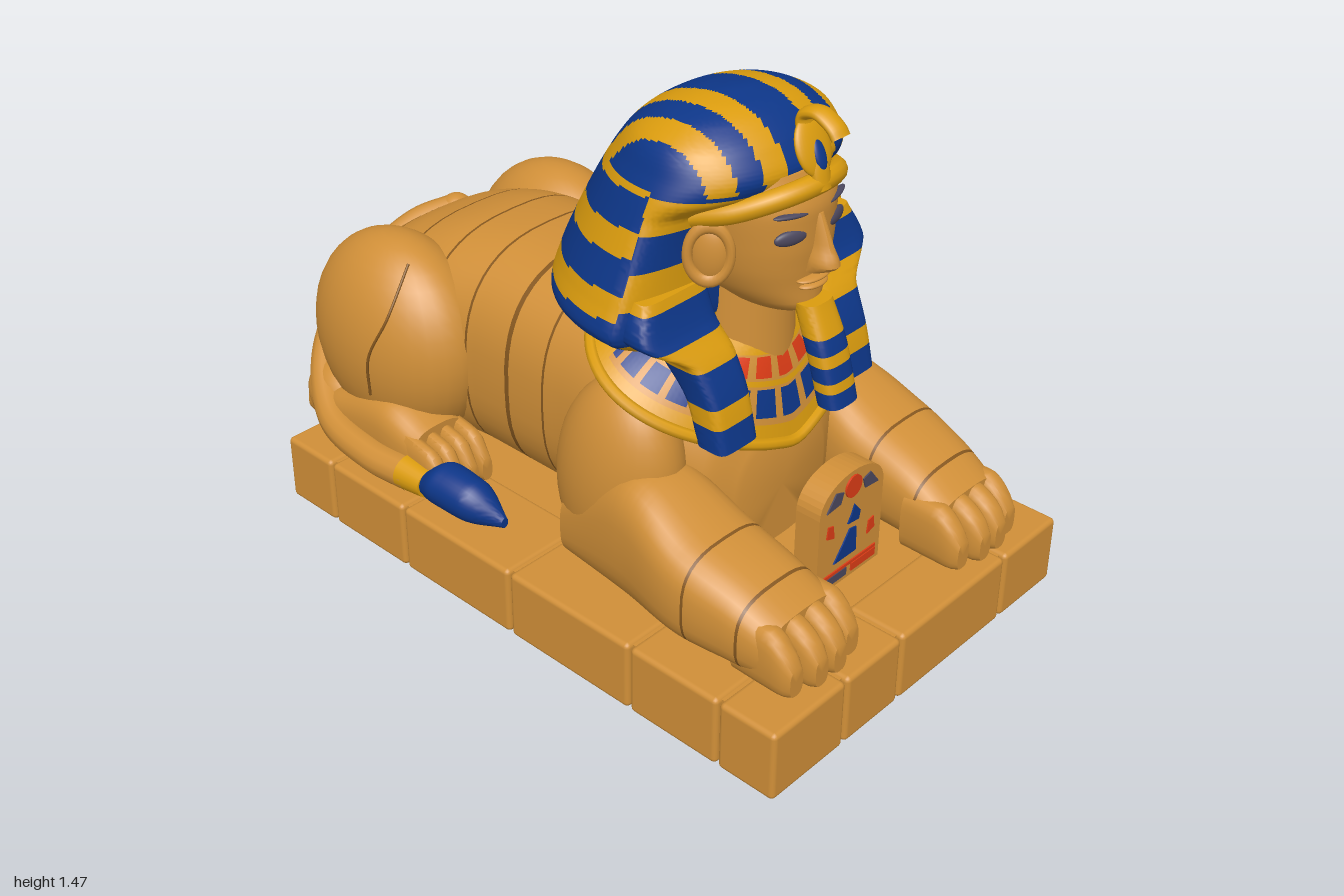
import * as THREE from 'three';
import { toCreasedNormals } from 'three/addons/utils/BufferGeometryUtils.js';
import { RoundedBoxGeometry } from 'three/addons/geometries/RoundedBoxGeometry.js';

const mat = (name, color) => Object.assign(new THREE.MeshStandardMaterial({ color }), { name });
const sand = mat('sandstone', 0xd08f38), gold = mat('gold', 0xdb9c0e), blue = mat('lapis', 0x0d3688);
const red = mat('carnelian', 0xdd3c16), slate = mat('kohl', 0x4c485e), groove = mat('joint', 0x85571f);
const palette = [sand, gold, blue, red, slate, groove];
const mod = (a, b) => ((a % b) + b) % b;
const lerp = THREE.MathUtils.lerp;

// Smooth monotone interpolation of rows keyed by their first number
function sample(rows, t) {
  let i = 0;
  while (i < rows.length - 2 && t > rows[i + 1][0]) i++;
  const a = rows[i], b = rows[i + 1], h = b[0] - a[0], s = (t - a[0]) / h;
  const sec = (j, k) => (rows[j + 1][k] - rows[j][k]) / (rows[j + 1][0] - rows[j][0]);
  const slope = (j, k) => {
    if (j === 0) return sec(0, k);
    if (j === rows.length - 1) return sec(j - 1, k);
    const p = sec(j - 1, k), q = sec(j, k);
    return p * q <= 0 ? 0 : 2 * p * q / (p + q);
  };
  return a.map((_, k) => k === 0 ? t :
    a[k] * (1 + 2 * s) * (1 - s) ** 2 + b[k] * s * s * (3 - 2 * s) +
    h * (slope(i, k) * s * (1 - s) ** 2 - slope(i + 1, k) * s * s * (1 - s)));
}

// Grid surface; pick chooses the material of each quad
function surface(name, nu, nv, f, pick) {
  const pos = [], lists = palette.map(() => []), c = new THREE.Vector3();
  for (let j = 0; j <= nv; j++) for (let i = 0; i <= nu; i++) pos.push(...f((i % nu) / nu, j / nv));
  for (let j = 0; j < nv; j++) for (let i = 0; i < nu; i++) {
    const a = j * (nu + 1) + i, b = a + 1, d = a + nu + 1, e = d + 1;
    c.set(0, 0, 0);
    for (const q of [a, b, d, e]) c.add(new THREE.Vector3().fromArray(pos, q * 3));
    c.multiplyScalar(0.25);
    const m = typeof pick === 'function' ? pick(c, (i + 0.5) / nu, (j + 0.5) / nv) : pick;
    lists[palette.indexOf(m)].push(a, b, d, b, e, d);
  }
  const g = new THREE.BufferGeometry(), index = [];
  g.setAttribute('position', new THREE.Float32BufferAttribute(pos, 3));
  lists.forEach((l, k) => {
    if (l.length) g.addGroup(index.length, l.length, k);
    for (const q of l) index.push(q);
  });
  g.setIndex(index);
  const mesh = new THREE.Mesh(toCreasedNormals(g, 0.75), palette);
  mesh.name = name;
  return mesh;
}

// Loft of rounded sections [key, centreX, halfX, low, high] along z or y
function loft(name, axis, rows, pick = sand, { p = 2.3, mid, nu = 32, nv = 30, warp = v => v } = {}) {
  const t0 = rows[0][0], t1 = rows[rows.length - 1][0];
  const se = w => Math.sign(w) * Math.abs(w) ** (2 / p);
  return surface(name, nu, nv + 2, (u, v) => {
    const j = Math.round(v * (nv + 2)) - 1, k = j < 0 || j > nv ? 0 : 1;
    const [t, cx, hx, lo, hi] = sample(rows, lerp(t0, t1, warp(Math.min(Math.max(j / nv, 0), 1))));
    const m = mid ?? (lo + hi) / 2, th = u * Math.PI * 2;
    const s = axis === 'z' ? se(Math.sin(th)) : -se(Math.sin(th));
    const x = cx + k * hx * se(Math.cos(th)), w = m + k * s * (s > 0 ? hi - m : m - lo);
    return axis === 'z' ? [x, w, t] : [x, t, w];
  }, pick);
}

export function createModel() {
  const root = new THREE.Group();
  const add = (...m) => root.add(...m);
  const put = (name, geo, m, x = 0, y = 0, z = 0) => {
    const mesh = new THREE.Mesh(geo, m);
    mesh.name = name; mesh.position.set(x, y, z); root.add(mesh);
    return mesh;
  };
  const ball = (name, m, x, y, z, a, b, c) => {
    const o = put(name, new THREE.SphereGeometry(1, 32, 20), m, x, y, z);
    o.scale.set(a, b, c);
    return o;
  };
  const tube = (name, m, pts, r, n = 48) => put(name, new THREE.TubeGeometry(
    new THREE.CatmullRomCurve3(pts.map(q => new THREE.Vector3(...q))), n, r, 12), m);
  const seams = (...list) => c => list.some(s => Math.abs(c.z - s) < 0.0042) ? groove : sand;

  // Plinth of stone blocks around a core slab
  put('plinthCore', new THREE.BoxGeometry(1.14, 0.192, 1.78), sand, 0, 0.097, 0.085);
  const block = (x0, x1, z0, z1) => put('plinthBlock',
    new RoundedBoxGeometry(x1 - x0 - 0.006, 0.2, z1 - z0 - 0.006, 2, 0.014), sand, (x0 + x1) / 2, 0.1, (z0 + z1) / 2);
  const xs = [-0.595, -0.32, -0.1, 0.35, 0.595], zs = [-0.83, -0.63, -0.32, 0.1, 0.53, 0.82];
  for (let i = 0; i < 4; i++) {
    block(xs[i], xs[i + 1], 0.82, 1);
    if (i === 1 || i === 2) block(xs[i], xs[i + 1], -0.83, -0.63);
  }
  for (let i = 0; i < 5; i++) { block(-0.595, -0.32, zs[i], zs[i + 1]); block(0.35, 0.595, zs[i], zs[i + 1]); }

  // Torso with masonry joints
  add(loft('torso', 'z', [
    [-0.97, 0, 0.15, 0.32, 0.54], [-0.93, 0, 0.26, 0.25, 0.61], [-0.85, 0, 0.33, 0.2, 0.7], [-0.7, 0, 0.36, 0.19, 0.785],
    [-0.5, 0, 0.35, 0.19, 0.84], [-0.3, 0, 0.33, 0.19, 0.855], [0, 0, 0.33, 0.19, 0.855], [0.2, 0, 0.34, 0.19, 0.84],
    [0.38, 0, 0.31, 0.19, 0.76], [0.47, 0, 0.26, 0.19, 0.66], [0.52, 0, 0.17, 0.22, 0.55]],
  seams(-0.8, -0.64, -0.48, -0.33, -0.17, -0.03), { p: 2.6, nu: 48, nv: 190 }));

  for (const s of [-1, 1]) {
    // Shoulder, foreleg and paw
    ball('shoulder', sand, s * 0.335, 0.47, 0.26, 0.135, 0.29, 0.19).rotation.x = 0.15;
    add(loft('foreleg', 'z', [
      [0.15, s * 0.37, 0.08, 0.2, 0.4], [0.4, s * 0.36, 0.135, 0.19, 0.56], [0.6, s * 0.365, 0.16, 0.19, 0.48],
      [0.75, s * 0.355, 0.15, 0.19, 0.425], [0.87, s * 0.34, 0.14, 0.19, 0.36]], seams(0.64, 0.79), { p: 2.9, nv: 95 }));
    for (let i = 0; i < 4; i++) {
      const x = s * (0.233 + i * 0.071), e = i % 3 ? 0.02 : 0;
      add(loft('foreToe', 'z', [[0.76, x, 0.035, 0.19, 0.36], [0.86, x, 0.038, 0.19, 0.36],
        [0.91 + e, x, 0.035, 0.19, 0.325], [0.94 + e, x, 0.024, 0.2, 0.28]], sand, { p: 3, nu: 20, nv: 10 }));
    }
    // Haunch, heel and hind foot
    ball('haunch', sand, s * 0.31, 0.52, -0.62, 0.2, 0.31, 0.3);
    tube('haunchJoint', groove, [[0.37, 0.8, -0.5], [0.47, 0.68, -0.48], [0.507, 0.55, -0.53], [0.495, 0.42, -0.55]]
      .map(([x, y, z]) => [s * x, y, z]), 0.004);
    ball('heel', sand, s * 0.38, 0.29, -0.79, 0.12, 0.115, 0.13);
    add(loft('hindFoot', 'z', [[-0.88, s * 0.38, 0.09, 0.2, 0.3], [-0.7, s * 0.4, 0.11, 0.19, 0.37],
      [-0.5, s * 0.41, 0.11, 0.19, 0.42], [-0.36, s * 0.415, 0.1, 0.19, 0.37]], sand, { p: 2.8 }));
    for (let i = 0; i < 4; i++) {
      const x = s * (0.34 + i * 0.05);
      add(loft('hindToe', 'z', [[-0.4, x, 0.025, 0.19, 0.36], [-0.3, x, 0.027, 0.19, 0.34],
        [-0.25, x, 0.018, 0.2, 0.27]], sand, { p: 2.8, nu: 16, nv: 8 }));
    }
    // Ear, eye, brow
    ball('ear', sand, s * 0.2, 1.105, 0.425, 0.028, 0.08, 0.05).rotation.y = -s * 0.5;
    const rim = put('earRim', new THREE.TorusGeometry(0.052, 0.013, 10, 32), sand, s * 0.213, 1.11, 0.435);
    rim.scale.y = 1.4; rim.rotation.y = s * 0.85;
    ball('eye', slate, s * 0.085, 1.155, 0.578, 0.046, 0.02, 0.012).rotation.y = s * 0.3;
    const brow = ball('brow', slate, s * 0.085, 1.212, 0.577, 0.05, 0.007, 0.012);
    brow.rotation.set(0, s * 0.3, s * 0.06);
    // Headcloth lappet
    add(loft('lappet', 'y', [
      [0.635, s * 0.235, 0.07, 0.48, 0.575], [0.75, s * 0.235, 0.072, 0.44, 0.545], [0.845, s * 0.24, 0.08, 0.37, 0.5],
      [0.93, s * 0.295, 0.13, 0.33, 0.435], [1.02, s * 0.28, 0.11, 0.32, 0.4]],
    c => (c.y < 0.7 || (c.y > 0.75 && c.y < 0.842) || (c.y > 0.905 && c.y < 0.995)) ? blue : gold, { p: 5, nv: 60 }));
  }
  put('bluePatch', new THREE.CylinderGeometry(0.045, 0.05, 0.008, 16), blue, 0.43, 0.204, -0.21);

  // Tail
  tube('tail', sand, [[0.1, 0.68, -0.84], [0, 0.64, -0.91], [-0.18, 0.53, -0.945], [-0.37, 0.39, -0.89],
    [-0.5, 0.28, -0.72], [-0.53, 0.255, -0.52], [-0.52, 0.255, -0.36]], 0.048, 80);
  ball('tailRoot', sand, 0.1, 0.68, -0.84, 0.05, 0.05, 0.05);
  put('tailBand', new THREE.CylinderGeometry(0.04, 0.05, 0.09, 24), gold, -0.52, 0.257, -0.335).rotation.x = Math.PI / 2;
  add(loft('tailTuft', 'z', [[-0.3, -0.52, 0.03, 0.225, 0.29], [-0.23, -0.505, 0.065, 0.215, 0.34],
    [-0.13, -0.5, 0.06, 0.21, 0.33], [-0.03, -0.48, 0.012, 0.22, 0.25]], blue, { p: 2 }));

  // Broad collar with inlays
  add(surface('collar', 264, 40, (u, v) => {
    const a = -u * Math.PI * 2, k = (1 - Math.cos(a)) / 2;
    return [Math.sin(a) * lerp(0.15, 0.405, v),
      lerp(0.83 + 0.06 * k, 0.545 + 0.33 * k ** 0.6, v) + 0.03 * Math.sin(Math.PI * v),
      lerp(0.33, 0.3, v) + Math.cos(a) * lerp(0.15, 0.255, v)];
  }, (c, u, v) => {
    if (v < 0.25 || v > 0.87 || (v > 0.53 && v < 0.58)) return gold;
    if (c.z < 0.25) return v > 0.6 ? gold : sand;
    if (v < 0.5) return v > 0.28 && mod(u * 22 + 0.35, 1) < 0.7 ? red : sand;
    return v > 0.61 && v < 0.82 && mod(u * 24 + 0.35, 1) < 0.7 ? blue : sand;
  }));
  const rim = [];
  for (let i = 0; i < 32; i++) {
    const a = i / 32 * Math.PI * 2, k = (1 - Math.cos(a)) / 2;
    rim.push(new THREE.Vector3(Math.sin(a) * 0.405, 0.54 + 0.33 * k ** 0.6, 0.3 + Math.cos(a) * 0.255));
  }
  put('collarRim', new THREE.TubeGeometry(new THREE.CatmullRomCurve3(rim, true), 96, 0.016, 8, true), gold);

  // Head
  put('neck', new THREE.CylinderGeometry(0.13, 0.15, 0.42, 32), sand, 0, 0.84, 0.36);
  add(loft('face', 'y', [
    [0.925, 0, 0.07, 0.3, 0.56], [0.95, 0, 0.105, 0.28, 0.592], [1, 0, 0.142, 0.25, 0.59], [1.06, 0, 0.163, 0.25, 0.595],
    [1.12, 0, 0.172, 0.25, 0.6], [1.2, 0, 0.178, 0.25, 0.6], [1.3, 0, 0.17, 0.25, 0.56]], sand, { p: 2.2, mid: 0.4, nu: 40 }));
  add(loft('nose', 'y', [[1.05, 0, 0.036, 0.55, 0.625], [1.07, 0, 0.036, 0.55, 0.66], [1.12, 0, 0.022, 0.55, 0.64],
    [1.2, 0, 0.014, 0.55, 0.605]], sand, { p: 2, nu: 16, nv: 14 }));
  ball('upperLip', sand, 0, 1.028, 0.585, 0.06, 0.01, 0.03);
  ball('lowerLip', sand, 0, 1.008, 0.583, 0.05, 0.011, 0.03);
  add(loft('beard', 'y', [[0.71, 0, 0.055, 0.645, 0.715], [0.85, 0, 0.056, 0.6, 0.675], [0.965, 0, 0.05, 0.55, 0.625]],
    c => c.y < 0.91 && mod(c.y - 0.71, 0.067) < 0.04 ? blue : gold, { p: 3, nv: 70 }));

  // Striped headcloth: bands below, lengthwise stripes over the crown
  add(loft('headcloth', 'y', [
    [0.85, 0, 0.31, 0, 0.37], [0.868, 0, 0.37, -0.09, 0.385], [0.93, 0, 0.452, -0.115, 0.4], [1, 0, 0.428, -0.1, 0.4],
    [1.1, 0, 0.387, -0.06, 0.405], [1.2, 0, 0.347, -0.01, 0.425], [1.26, 0, 0.323, 0.025, 0.53], [1.3, 0, 0.303, 0.05, 0.55],
    [1.36, 0, 0.272, 0.1, 0.52], [1.41, 0, 0.2, 0.17, 0.465], [1.435, 0, 0.12, 0.24, 0.415], [1.446, 0, 0.05, 0.3, 0.36]],
  c => {
    const ax = Math.abs(c.x);
    if (c.y > 1.275) return ax < 0.062 || (ax > 0.13 && ax < 0.195) || ax > 0.255 ? blue : gold;
    if (c.z > 0.34) return mod(c.y - 0.905, 0.18) < 0.09 ? blue : gold;
    return mod(c.y - 0.865 - 0.06 * (c.z + 0.1), 0.145) < 0.082 ? blue : gold;
  }, { p: 2.1, mid: 0.33, nu: 128, nv: 120, warp: v => Math.sin(v * Math.PI / 2) }));
  tube('headband', gold, [[-0.225, 1.2, 0.39], [-0.185, 1.225, 0.48], [-0.1, 1.26, 0.56], [0, 1.272, 0.585],
    [0.1, 1.26, 0.56], [0.185, 1.225, 0.48], [0.225, 1.2, 0.39]], 0.028);
  // Rearing cobra on the brow
  tube('cobraBody', gold, [[0, 1.26, 0.6], [0, 1.32, 0.585], [0, 1.39, 0.545], [0, 1.435, 0.54], [0, 1.45, 0.58],
    [0, 1.425, 0.63], [0, 1.405, 0.645]], 0.016).scale.x = 1.9;
  ball('cobraHood', gold, 0, 1.36, 0.565, 0.06, 0.075, 0.018).rotation.x = -0.4;
  ball('cobraInlay', blue, 0, 1.345, 0.586, 0.02, 0.04, 0.01).rotation.x = -0.4;

  // Arched stela between the paws
  const arch = new THREE.Shape();
  arch.moveTo(-0.13, 0.2).lineTo(0.13, 0.2).lineTo(0.13, 0.44);
  arch.bezierCurveTo(0.13, 0.56, -0.13, 0.56, -0.13, 0.44);
  put('stela', new THREE.ExtrudeGeometry(arch, { depth: 0.075, bevelEnabled: false, curveSegments: 20 }), sand, 0, 0, 0.67);
  const plate = (name, m, ...pts) => put(name, new THREE.ExtrudeGeometry(
    new THREE.Shape(pts.map(q => new THREE.Vector2(...q))), { depth: 0.006, bevelEnabled: false }), m, 0, 0, 0.743);
  put('sunDisc', new THREE.CylinderGeometry(0.032, 0.032, 0.006, 24), red, 0, 0.485, 0.747).rotation.x = Math.PI / 2;
  for (const s of [-1, 1]) {
    plate('wing', slate, [s * 0.04, 0.485], [s * 0.07, 0.495], [s * 0.105, 0.45], [s * 0.05, 0.455]);
    plate('redSign', red, [s * 0.07, 0.33 - s * 0.03], [s * 0.1, 0.34 - s * 0.03], [s * 0.095, 0.375 - s * 0.03], [s * 0.075, 0.37 - s * 0.03]);
    plate('footStrip', s > 0 ? red : slate, [s * 0.01, 0.215], [s * 0.11, 0.215], [s * 0.11, 0.238], [s * 0.01, 0.238]);
  }
  plate('seatedFigure', blue, [-0.065, 0.275], [0.025, 0.275], [0.022, 0.35], [-0.005, 0.355], [-0.03, 0.32]);
  plate('bird', blue, [-0.015, 0.375], [0.03, 0.37], [0.035, 0.395], [0.01, 0.425], [0, 0.4]);
  plate('redStrip', red, [-0.11, 0.241], [0.11, 0.241], [0.11, 0.25], [-0.11, 0.25]);
  return root;
}
